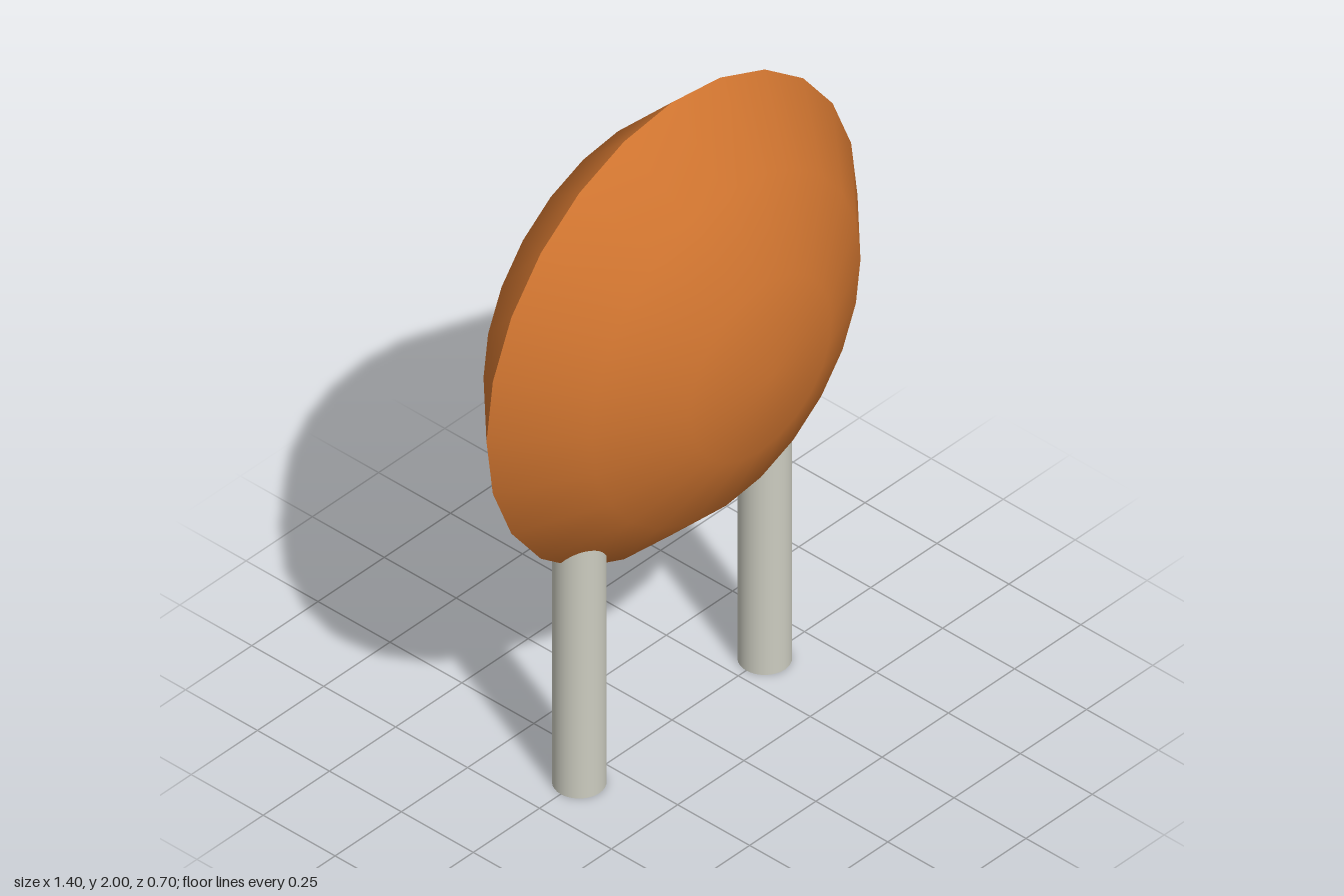
import * as THREE from 'three';

const R = 0.875;          // sphere radius of each bulging face
const RIM = 0.7;          // radius of the sharp rim
const BULGE = 0.35;       // depth of each face
const CENTER_Y = 1.3;

// Height of the lens underside above a ground point
function undersideY(x, z) {
  const depth = R - BULGE + Math.abs(z);
  return CENTER_Y - Math.sqrt(R * R - depth * depth - x * x);
}

export function createModel() {
  const model = new THREE.Group();
  const orange = new THREE.MeshStandardMaterial({ color: 0xcd732f });
  const paleGrey = new THREE.MeshStandardMaterial({ color: 0xccccc0 });

  // Lens-shaped body: two spherical caps meeting at a sharp rim
  const body = new THREE.Group();
  body.name = 'body';
  const cap = new THREE.SphereGeometry(R, 24, 3, 0, Math.PI * 2, 0, Math.asin(RIM / R));
  cap.rotateX(Math.PI / 2);
  cap.translate(0, 0, BULGE - R);
  for (const side of ['front', 'back']) {
    const face = new THREE.Mesh(cap, orange);
    face.name = side + 'Face';
    if (side === 'back') face.rotation.x = Math.PI;
    body.add(face);
  }
  body.position.y = CENTER_Y;
  model.add(body);

  // Round legs, their tops shaped to end just inside the body
  for (const side of [1, -1]) {
    const x = 0.35 * side;
    const geometry = new THREE.CylinderGeometry(0.07, 0.07, 1, 32);
    geometry.translate(x, 0.5, 0);
    const p = geometry.attributes.position;
    for (let i = 0; i < p.count; i++) {
      if (p.getY(i) > 0.5) p.setY(i, undersideY(p.getX(i), p.getZ(i)) + 0.025);
    }
    const leg = new THREE.Mesh(geometry, paleGrey);
    leg.name = side > 0 ? 'leftLeg' : 'rightLeg';
    model.add(leg);
  }
  return model;
}
